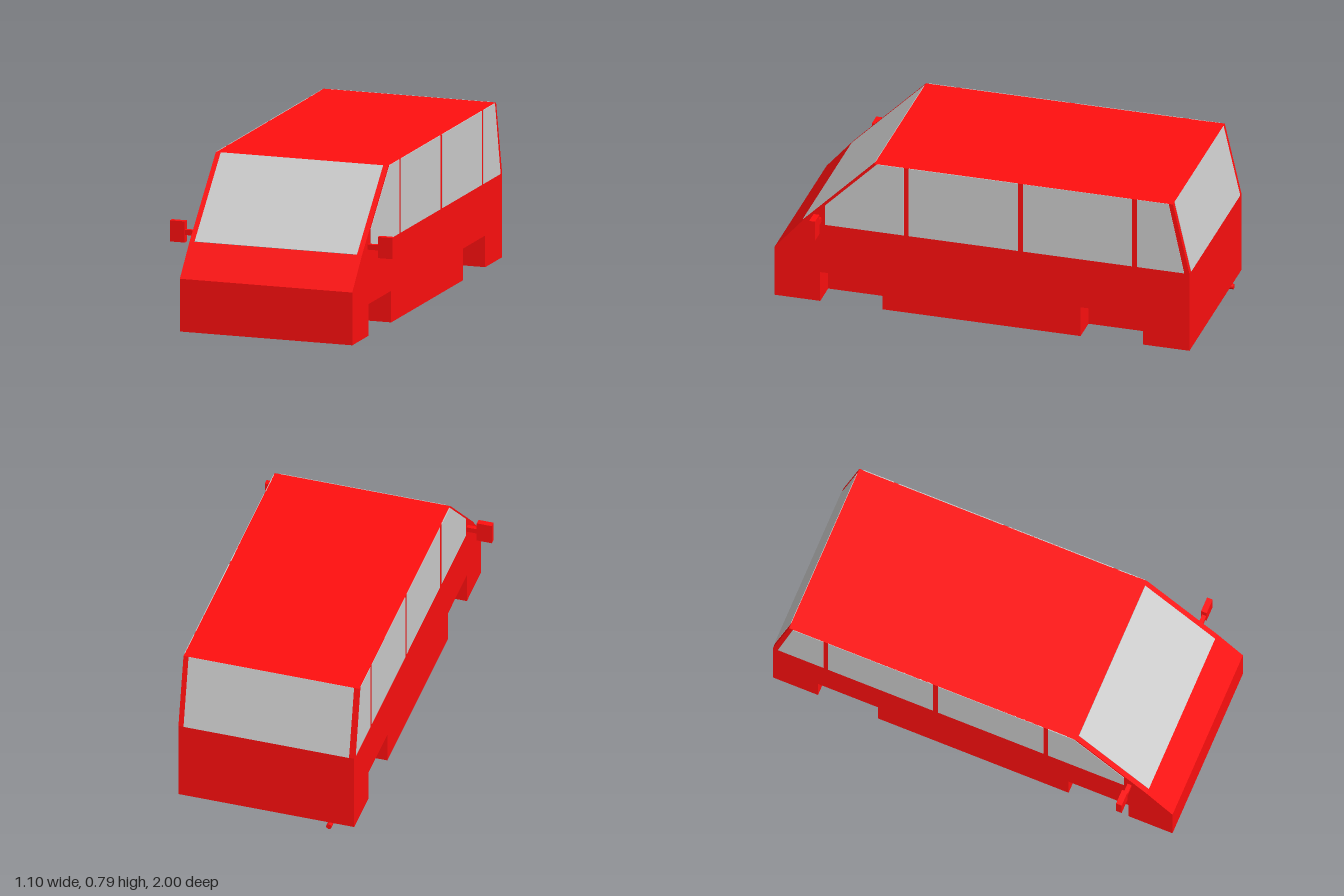
import * as THREE from 'three';

const red = new THREE.MeshStandardMaterial({ color: 0xff0f0f, flatShading: true });
const redSmooth = new THREE.MeshStandardMaterial({ color: 0xff0f0f });
const glass = new THREE.MeshStandardMaterial({ color: 0xcccccc, flatShading: true });

const HALF = 0.425;      // half width of the body
const WELL = 0.13;       // depth of the wheel arches
const SILL = 0.04, BELT = 0.44, ROOF = 0.79;

export function createModel() {
  const van = new THREE.Group();
  van.name = 'van';

  function add(parent, name, geometry, material, x = 0, y = 0, z = 0) {
    const mesh = new THREE.Mesh(geometry, material);
    mesh.name = name;
    mesh.position.set(x, y, z);
    parent.add(mesh);
    return mesh;
  }

  // Extrudes a side outline of [z, y] points across the range x0..x1
  function slab(points, x0, x1) {
    const shape = new THREE.Shape(points.map(([z, y]) => new THREE.Vector2(z, y)));
    const geometry = new THREE.ExtrudeGeometry(shape, { depth: x1 - x0, bevelEnabled: false });
    return geometry.rotateY(-Math.PI / 2).translate(x1, 0, 0);
  }

  // Body: plain core between two sides with notched wheel arches
  const upper = [[1, SILL], [1, 0.29], [0.87, BELT], [0.52, ROOF], [-0.92, ROOF], [-1, BELT], [-1, SILL]];
  const arches = [];
  for (const z of [-0.625, 0.63]) {
    arches.push([z - 0.15, SILL], [z - 0.15, 0.19], [z + 0.15, 0.19], [z + 0.15, SILL]);
  }
  const inner = HALF - WELL;
  add(van, 'bodyCore', slab(upper, -inner, inner), red);
  add(van, 'bodyLeft', slab([...upper, ...arches], inner, HALF), red);
  add(van, 'bodyRight', slab([...upper, ...arches], -HALF, -inner), red);

  // Windscreen and rear window: thin panes lying on the sloped ends
  function endPane(name, zBottom, zTop) {
    const rise = ROOF - BELT, run = zTop - zBottom;
    const pane = add(van, name, new THREE.BoxGeometry(0.8, Math.hypot(rise, run), 0.004), glass,
      0, (ROOF + BELT) / 2, (zBottom + zTop) / 2);
    pane.rotation.x = Math.atan2(run, rise);
  }
  endPane('windscreen', 0.87, 0.52);
  endPane('rearWindow', -1, -0.92);

  // Side windows, separated by narrow pillars
  const sideWindows = [
    [[0.757, BELT], [0.757, 0.54], [0.507, ROOF], [0.377, ROOF], [0.377, BELT]],
    [[0.353, BELT], [0.353, ROOF], [-0.173, ROOF], [-0.173, BELT]],
    [[-0.198, BELT], [-0.198, ROOF], [-0.724, ROOF], [-0.724, BELT]],
    [[-0.748, BELT], [-0.748, ROOF], [-0.9, ROOF], [-0.975, BELT]],
  ];
  for (const [side, label] of [[1, 'left'], [-1, 'right']]) {
    sideWindows.forEach((points, i) => {
      const x = side * HALF;
      add(van, `${label}Window${i + 1}`, slab(points, x - 0.002, x + 0.002), glass);
    });

    // Door mirror on a short arm
    const mirror = new THREE.Group();
    mirror.name = `${label}Mirror`;
    add(mirror, 'mirrorArm', new THREE.BoxGeometry(0.06, 0.025, 0.02), red, side * 0.45, 0.463, 0.785);
    add(mirror, 'mirrorHead', new THREE.BoxGeometry(0.073, 0.1, 0.028), red, side * 0.5125, 0.465, 0.783);
    van.add(mirror);
  }

  // Exhaust: drop pipe, run to the rear, thicker tip
  const exhaust = new THREE.Group();
  exhaust.name = 'exhaust';
  const px = -0.302, py = 0.014;
  add(exhaust, 'dropPipe', new THREE.CylinderGeometry(0.01, 0.01, 0.035, 16), redSmooth, px, 0.03, -0.8);
  add(exhaust, 'pipeElbow', new THREE.SphereGeometry(0.01, 16, 12), redSmooth, px, py, -0.8);
  add(exhaust, 'tailPipe', new THREE.CylinderGeometry(0.01, 0.01, 0.1, 16), redSmooth, px, py, -0.85)
    .rotation.x = Math.PI / 2;
  add(exhaust, 'tailTip', new THREE.CylinderGeometry(0.013, 0.013, 0.1, 16), redSmooth, px, py, -0.95)
    .rotation.x = Math.PI / 2;
  van.add(exhaust);

  return van;
}
